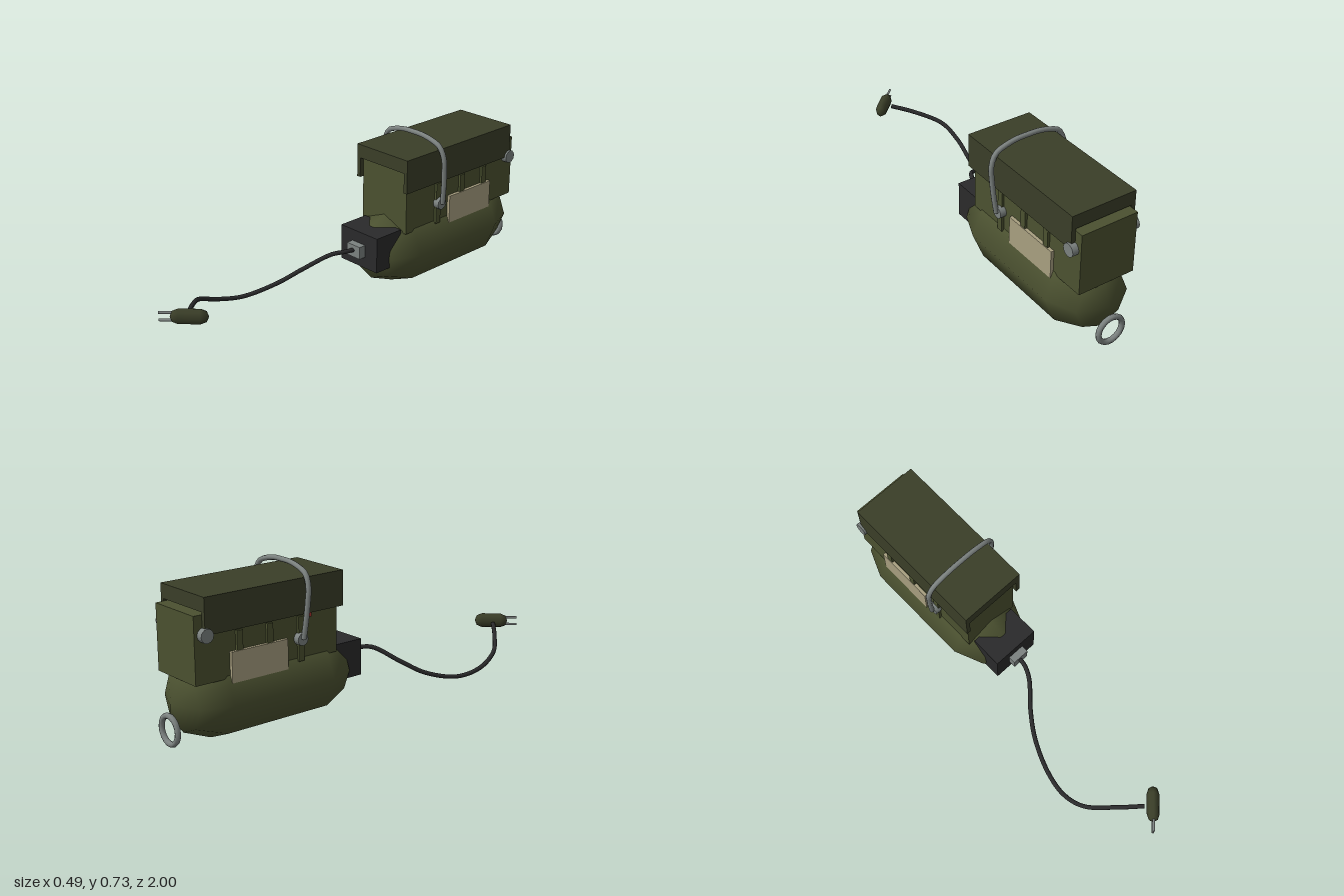
import * as THREE from 'three';

const CX = 0.04; // centre line of the machine
const mat = (color) => new THREE.MeshStandardMaterial({ color });

export function createModel() {
  const root = new THREE.Group();
  const olive = mat(0x4b5130), lidGreen = mat(0x3a3e28), metal = mat(0x7c8280);
  const black = mat(0x2a2a2b), tan = mat(0xa89f80), red = mat(0xb03030);

  const add = (name, geo, material, x = 0, y = 0, z = 0) => {
    const m = new THREE.Mesh(geo, material);
    m.name = name;
    m.position.set(x, y, z);
    root.add(m);
    return m;
  };
  // box given by its limits on each axis
  const box = (name, material, [x0, x1], [y0, y1], [z0, z1]) =>
    add(name, new THREE.BoxGeometry(x1 - x0, y1 - y0, z1 - z0), material,
      (x0 + x1) / 2, (y0 + y1) / 2, (z0 + z1) / 2);
  // limits of a side part, measured outward from the centre line
  const out = (s, a, b) => (s > 0 ? [CX + a, CX + b] : [CX - b, CX - a]);
  const tube = (name, pts, r, segs, sides, material) =>
    add(name, new THREE.TubeGeometry(
      new THREE.CatmullRomCurve3(pts.map((p) => new THREE.Vector3(...p))), segs, r, sides), material);

  // tank and upper housing
  add('tank', new THREE.CapsuleGeometry(0.19, 0.53, 2, 8).rotateX(Math.PI / 2), olive, CX, 0.192, -0.52);
  box('housing', olive, [CX - 0.14, CX + 0.14], [0.3, 0.595], [-0.94, -0.2]);

  // lid: inverted channel, open at both ends
  const lid = new THREE.Shape();
  [[-0.16, 0.51], [-0.14, 0.51], [-0.14, 0.605], [0.14, 0.605], [0.14, 0.51], [0.16, 0.51], [0.16, 0.67], [-0.16, 0.67]]
    .forEach(([x, y], i) => (i ? lid.lineTo(x, y) : lid.moveTo(x, y)));
  lid.closePath();
  add('lid', new THREE.ExtrudeGeometry(lid, { depth: 0.72, bevelEnabled: false }), lidGreen, CX, 0, -0.9);

  // side fittings, mirrored
  for (const s of [1, -1]) {
    for (const z of [-0.405, -0.57, -0.725])
      box('rib', olive, out(s, 0.13, 0.152), [0.3, 0.5], [z - 0.015, z + 0.015]);
    box('sidePlate', tan, out(s, 0.13, 0.155), [0.28, 0.415], [-0.77, -0.48]);
    for (const [name, r, y, z] of [['handlePivot', 0.028, 0.402, -0.41], ['hingeBolt', 0.031, 0.51, -0.895]])
      add(name, new THREE.CylinderGeometry(r, r, 0.032, 12).rotateZ(Math.PI / 2), metal, CX + s * 0.154, y, z);
  }
  box('indicator', red, [-0.113, -0.097], [0.49, 0.51], [-0.38, -0.35]);

  // carrying handle, leaning slightly forward
  const half = [[-0.173, 0.405], [-0.182, 0.48], [-0.188, 0.57], [-0.188, 0.63], [-0.163, 0.685], [-0.11, 0.708], [-0.05, 0.719]];
  const arch = [...half, [0, 0.72], ...half.map(([x, y]) => [-x, y]).reverse()];
  tube('handle', arch.map(([x, y]) => [CX + x, y, -0.41 + (y - 0.4) * 0.075]), 0.012, 40, 8, metal);

  // hanging ring at the back
  add('ring', new THREE.TorusGeometry(0.062, 0.013, 8, 18), metal, CX, 0.085, -0.985);

  // front block, cord outlet and cord
  box('frontBlock', black, [-0.075, 0.158], [0.15, 0.32], [-0.19, -0.035]);
  box('cordOutlet', metal, [0, 0.082], [0.205, 0.265], [-0.036, 0]);
  tube('cord', [[0.04, 0.238, -0.02], [0.03, 0.24, 0.04], [0, 0.235, 0.1], [-0.085, 0.165, 0.2],
    [-0.15, 0.104, 0.3], [-0.21, 0.068, 0.45], [-0.235, 0.09, 0.58], [-0.215, 0.138, 0.69],
    [-0.12, 0.182, 0.8], [-0.03, 0.207, 0.885]], 0.0105, 72, 8, black);

  // plug with two prongs, turned diagonally
  const plug = new THREE.Group();
  plug.name = 'plug';
  plug.position.set(0.003, 0.214, 0.905);
  plug.rotation.y = -Math.PI / 4;
  const plugBody = new THREE.Mesh(new THREE.CapsuleGeometry(0.036, 0.092, 2, 8).rotateX(Math.PI / 2), lidGreen);
  plugBody.name = 'plugBody';
  plugBody.scale.x = 0.8;
  plug.add(plugBody);
  for (const s of [1, -1]) {
    const prong = new THREE.Mesh(new THREE.CylinderGeometry(0.006, 0.006, 0.08, 8).rotateX(Math.PI / 2), metal);
    prong.name = 'prong';
    prong.position.set(0, s * 0.0175, 0.088);
    plug.add(prong);
  }
  root.add(plug);
  return root;
}
